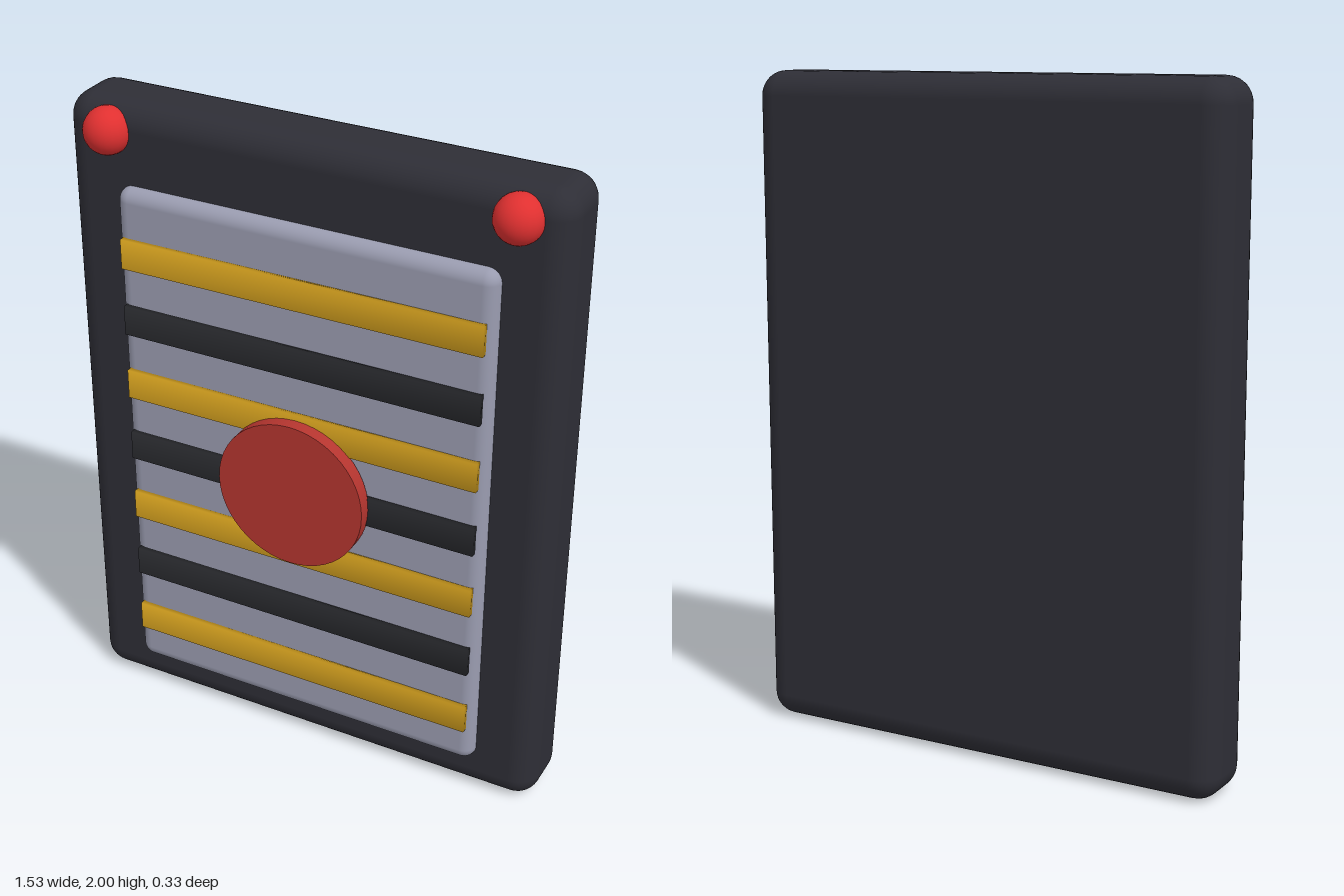
import * as THREE from 'three';
import { RoundedBoxGeometry } from 'three/addons/geometries/RoundedBoxGeometry.js';
import { mergeVertices } from 'three/addons/utils/BufferGeometryUtils.js';

const material = (name, color) => Object.assign(new THREE.MeshStandardMaterial({ color }), { name });

// Box with shared corner normals, giving a softly shaded bar
function softBox(w, h, d) {
  const box = new THREE.BoxGeometry(w, h, d);
  box.deleteAttribute('normal');
  box.deleteAttribute('uv');
  const geometry = mergeVertices(box);
  geometry.computeVertexNormals();
  return geometry;
}

export function createModel() {
  const group = new THREE.Group();
  const charcoal = material('charcoal', 0x2e2e36);
  const grey = material('cool grey', 0x9a9cb0);
  const gold = material('gold', 0xdaa520);
  const black = material('soft black', 0x2a2b2f);
  const brick = material('brick red', 0xb5352f);
  const red = material('bright red', 0xe03030);

  const add = (name, geometry, mat, x, y, z) => {
    const mesh = new THREE.Mesh(geometry, mat);
    mesh.name = name;
    mesh.position.set(x, y, z);
    group.add(mesh);
    return mesh;
  };

  // Slab body and raised front panel
  add('body', new RoundedBoxGeometry(1.53, 2, 0.234, 4, 0.075), charcoal, 0, 1, -0.047);
  add('frontPanel', new RoundedBoxGeometry(1.164, 1.64, 0.09, 4, 0.04), grey, 0, 0.945, 0.064);

  // Alternating horizontal bars
  const bar = softBox(1.12, 0.092, 0.02);
  for (let i = 0; i < 7; i++) {
    add(`bar${i + 1}`, bar, i % 2 ? black : gold, 0, 0.299 + i * 0.2122, 0.115);
  }

  // Central round button
  const disc = new THREE.CylinderGeometry(0.233, 0.233, 0.044, 48);
  disc.rotateX(Math.PI / 2);
  add('centreDisc', disc, brick, 0, 0.944, 0.143);

  // Lamps in the top corners
  const lamp = new THREE.SphereGeometry(0.07, 24, 16);
  for (const side of [-1, 1]) {
    add(side > 0 ? 'leftLamp' : 'rightLamp', lamp, red, side * 0.618, 1.917, 0.069);
  }
  return group;
}
